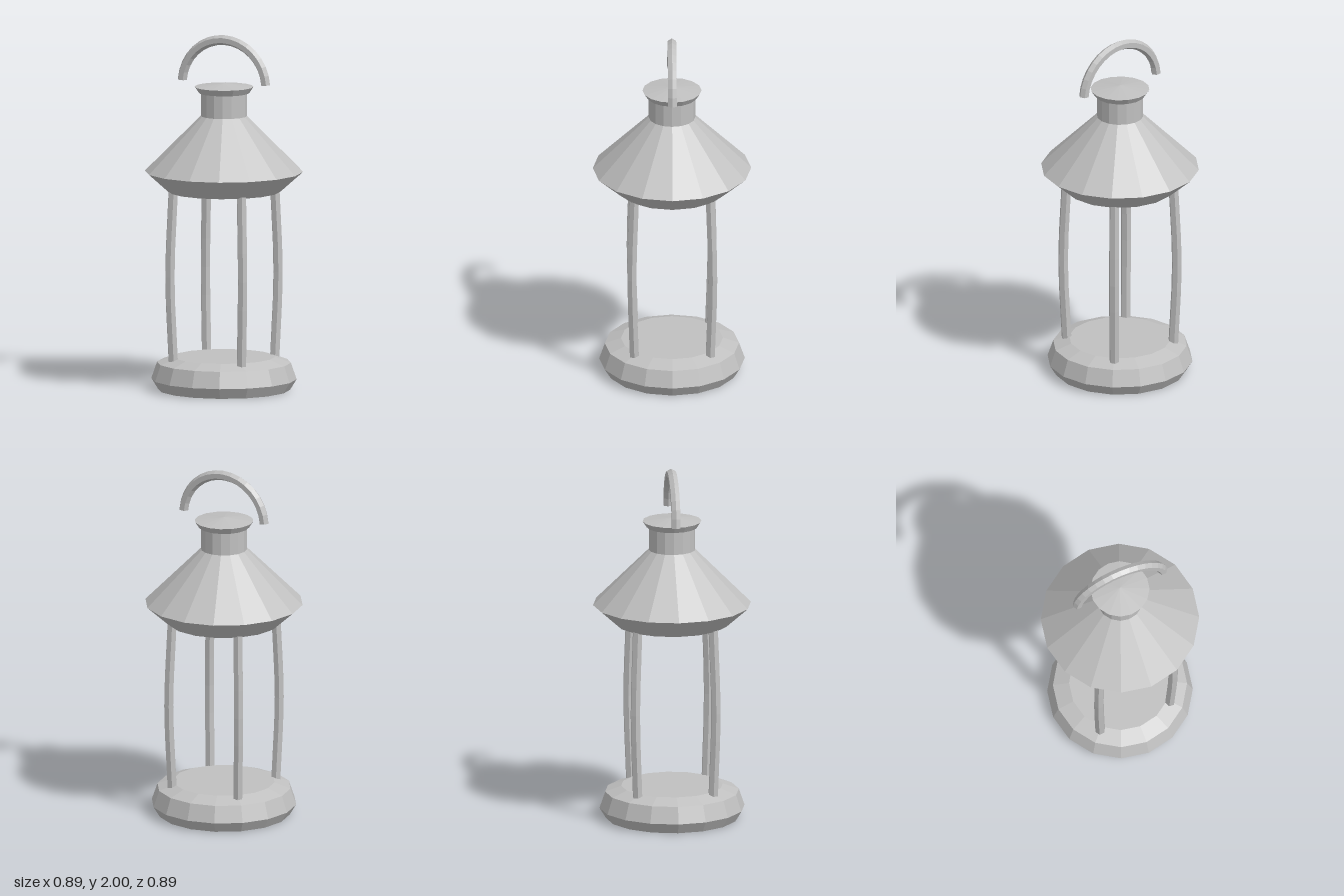
import * as THREE from 'three';

// Give every face its own normal for a faceted look
function faceted(geometry) {
  const flat = geometry.toNonIndexed();
  flat.computeVertexNormals();
  return flat;
}

// Sixteen-sided turned part from [radius, height] pairs, bottom to top
function turned(profile) {
  return faceted(new THREE.LatheGeometry(profile.map(([r, y]) => new THREE.Vector2(r, y)), 16));
}

// Capped hexagonal bar swept along a curve, with a corner kept in the xy plane
function hexBar(curve, segments, radius) {
  const sides = 6, positions = [], index = [];
  const zAxis = new THREE.Vector3(0, 0, 1);
  for (let i = 0; i <= segments; i++) {
    const p = curve.getPoint(i / segments);
    const t = curve.getTangent(i / segments);
    const n = new THREE.Vector3().crossVectors(zAxis, t).normalize();
    const b = new THREE.Vector3().crossVectors(t, n);
    for (let j = 0; j < sides; j++) {
      const a = (j / sides) * Math.PI * 2;
      const v = p.clone().addScaledVector(n, radius * Math.cos(a)).addScaledVector(b, radius * Math.sin(a));
      positions.push(v.x, v.y, v.z);
      if (i < segments) {
        const k = (j + 1) % sides, r0 = i * sides, r1 = r0 + sides;
        index.push(r0 + j, r0 + k, r1 + j, r0 + k, r1 + k, r1 + j);
      }
    }
  }
  const end = segments * sides;
  for (let j = 1; j < sides - 1; j++) {
    index.push(0, j + 1, j, end, end + j, end + j + 1);
  }
  const geometry = new THREE.BufferGeometry();
  geometry.setAttribute('position', new THREE.Float32BufferAttribute(positions, 3));
  geometry.setIndex(index);
  return faceted(geometry);
}

// Circular arc in the xy plane
class HandleArc extends THREE.Curve {
  getPoint(t, target = new THREE.Vector3()) {
    const a = THREE.MathUtils.lerp(0.08, Math.PI - 0.08, t);
    return target.set(0.26 * Math.cos(a), 1.713 + 0.26 * Math.sin(a), 0);
  }
}

export function createModel() {
  const group = new THREE.Group();
  const metal = new THREE.MeshStandardMaterial({ color: 0xc0c0c0 });
  metal.name = 'greyMetal';

  const add = (name, geometry) => {
    const mesh = new THREE.Mesh(geometry, metal);
    mesh.name = name;
    group.add(mesh);
  };

  // Bevelled base
  add('base', turned([[0, 0], [0.37, 0], [0.407, 0.06], [0.375, 0.153], [0.285, 0.185], [0, 0.185]]));

  // Conical roof with an undercut rim
  add('roof', turned([[0, 1.12], [0.317, 1.12], [0.443, 1.232], [0.13, 1.545], [0, 1.545]]));

  // Chimney and its flared cap
  add('chimney', turned([[0, 1.54], [0.13, 1.54], [0.13, 1.69], [0, 1.69]]));
  add('chimneyCap', turned([[0, 1.675], [0.142, 1.675], [0.165, 1.71], [0, 1.73]]));

  // Four posts, bowed slightly outwards
  for (const sx of [-1, 1]) {
    for (const sz of [-1, 1]) {
      const at = (d, y) => new THREE.Vector3(sx * d, y, sz * d);
      const bow = new THREE.CatmullRomCurve3([at(0.212, 0.17), at(0.226, 0.65), at(0.212, 1.135)]);
      add('post', hexBar(bow, 6, 0.029));
    }
  }

  // Arched carrying handle
  add('handle', hexBar(new HandleArc(), 16, 0.028));

  return group;
}
